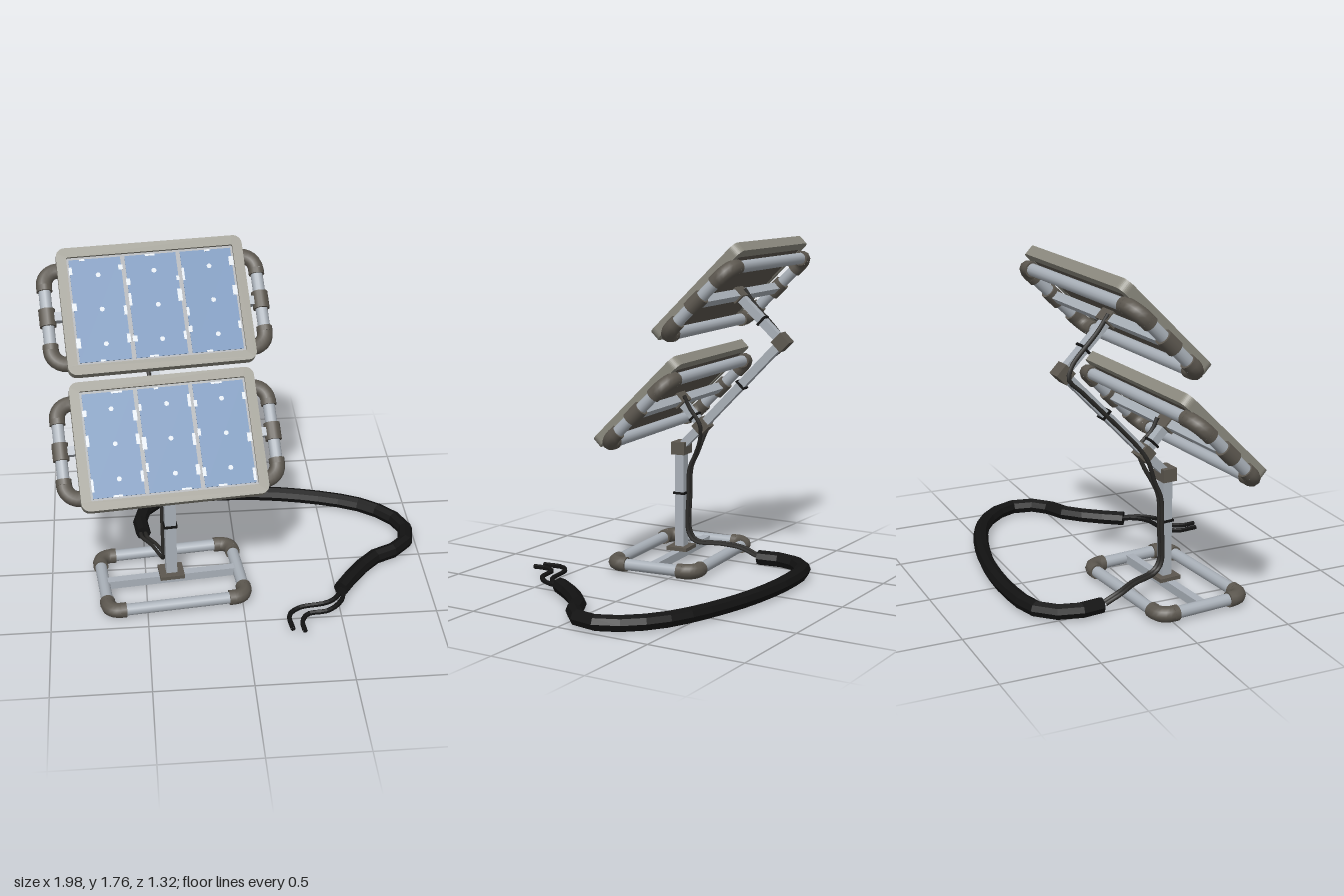
import * as THREE from 'three';

const mat = (name, color, extra = {}) => Object.assign(new THREE.MeshStandardMaterial({ color, ...extra }), { name });
const V = (x, y, z) => new THREE.Vector3(x, y, z);

export function createModel() {
  const frameGrey = mat('frame grey', 0x8c8a7f);
  const fitting = mat('dark fitting', 0x5c574f);
  const metal = mat('light metal', 0xa9b0b8);
  const cell = mat('cell blue', 0x5c80aa);
  const contact = mat('contact white', 0xd2d8de);
  const backing = mat('backing grey', 0x9a9da0);
  const black = mat('cable black', 0x121212, { flatShading: true });
  const wireMat = mat('wire charcoal', 0x2a2927);

  const root = new THREE.Group();
  root.name = 'solarStand';

  const add = (parent, name, geo, material, x = 0, y = 0, z = 0) => {
    const m = new THREE.Mesh(geo, material);
    m.name = name;
    m.position.set(x, y, z);
    parent.add(m);
    return m;
  };
  const box = (parent, name, w, h, d, material, x, y, z) =>
    add(parent, name, new THREE.BoxGeometry(w, h, d), material, x, y, z);

  // Square bar between two points
  const beam = (parent, name, a, b, w, material, extra = 0) => {
    const m = new THREE.Mesh(new THREE.BoxGeometry(w, w, a.distanceTo(b) + extra), material);
    m.name = name;
    m.position.copy(a).lerp(b, 0.5);
    m.lookAt(b);
    parent.add(m);
    return m;
  };

  // Capped hose through a few points
  const hose = (parent, name, pts, r, sides, material, steps) => {
    const curve = new THREE.CatmullRomCurve3(pts, false, 'centripetal');
    add(parent, name, new THREE.TubeGeometry(curve, steps, r, sides), material);
    for (const t of [0, 1]) {
      const p = curve.getPoint(t);
      const cap = add(parent, name + 'End', new THREE.CircleGeometry(r, sides), material, p.x, p.y, p.z);
      cap.lookAt(p.clone().addScaledVector(curve.getTangent(t), t ? 1 : -1));
    }
  };

  // Rounded tube loop in the XY plane with elbow fittings and a middle bar
  const tubeLoop = (name, hw, hh, r, tees) => {
    const g = new THREE.Group();
    g.name = name;
    const tube = (len, x, y, alongX, rad, material, part) => {
      const m = add(g, part, new THREE.CylinderGeometry(rad, rad, len, 14), material, x, y, 0);
      if (alongX) m.rotation.z = Math.PI / 2;
    };
    const collar = 0.03;
    for (const s of [-1, 1]) {
      tube(2 * (hw - r), 0, s * hh, true, 0.031, metal, 'longTube');
      tube(2 * (hh - r), s * hw, 0, false, 0.031, metal, 'sideTube');
      if (tees) tube(0.09, s * hw, 0, false, 0.042, fitting, 'teeFitting');
      for (const t of [-1, 1]) {
        const e = add(g, 'elbow', new THREE.TorusGeometry(r, 0.04, 10, 6, Math.PI / 2), fitting, s * (hw - r), t * (hh - r), 0);
        e.rotation.z = s > 0 ? (t > 0 ? 0 : -Math.PI / 2) : (t > 0 ? Math.PI / 2 : Math.PI);
        tube(collar, s * (hw - r - collar / 2), t * hh, true, 0.04, fitting, 'elbowCollar');
        tube(collar, s * hw, t * (hh - r - collar / 2), false, 0.04, fitting, 'elbowCollar');
      }
    }
    box(g, 'middleBar', 2 * hw, 0.045, 0.045, metal);
    return g;
  };

  // Rounded rectangle outline
  const roundRect = (C, w, h, r) => {
    const s = new C();
    s.absarc(w / 2 - r, h / 2 - r, r, 0, Math.PI / 2);
    s.absarc(-w / 2 + r, h / 2 - r, r, Math.PI / 2, Math.PI);
    s.absarc(-w / 2 + r, -h / 2 + r, r, Math.PI, Math.PI * 1.5);
    s.absarc(w / 2 - r, -h / 2 + r, r, Math.PI * 1.5, Math.PI * 2);
    s.closePath();
    return s;
  };

  let seed = 7;
  const rand = () => (seed = (seed * 16807) % 2147483647) / 2147483647;

  // Solar panel with its carrying loop, facing +z before tilting
  const makePanel = (name) => {
    const g = new THREE.Group();
    g.name = name;
    const W = 0.94, H = 0.66, T = 0.055;
    const rim = roundRect(THREE.Shape, W, H, 0.045);
    rim.holes.push(roundRect(THREE.Path, W - 0.1, H - 0.1, 0.008));
    add(g, 'panelFrame', new THREE.ExtrudeGeometry(rim, { depth: T, bevelEnabled: false, curveSegments: 5 }), frameGrey, 0, 0, -T / 2);
    box(g, 'panelBack', W - 0.08, H - 0.08, 0.036, fitting, 0, 0, -0.0085);
    box(g, 'cellBacking', W - 0.1, H - 0.1, 0.004, backing, 0, 0, 0.011);
    for (const i of [-1, 0, 1]) {
      const cx = i * 0.28;
      box(g, 'solarCell', 0.258, 0.535, 0.004, cell, cx, 0, 0.0145);
      // Contact dots and worn flecks along the cell edges
      for (const y of [-0.18, 0, 0.18]) {
        add(g, 'contactDot', new THREE.CircleGeometry(0.013, 7), contact, cx + 0.01, y, 0.0172);
        for (const s of [-1, 1])
          box(g, 'edgeFleck', 0.012 + rand() * 0.012, 0.02 + rand() * 0.05, 0.001, contact, cx + s * 0.125, y + (rand() - 0.5) * 0.1, 0.0168);
      }
      for (const s of [-1, 1])
        box(g, 'edgeFleck', 0.02 + rand() * 0.04, 0.01, 0.001, contact, cx + (rand() - 0.5) * 0.15, s * 0.264, 0.0168);
    }
    const loop = tubeLoop('panelRail', 0.54, 0.245, 0.075, true);
    loop.position.z = -0.06;
    g.add(loop);
    return g;
  };

  // Stand: everything that turns with the post
  const stand = new THREE.Group();
  stand.name = 'stand';
  stand.position.set(-0.365, 0, 0.14);
  stand.rotation.y = 0.1;
  root.add(stand);

  const base = tubeLoop('baseFrame', 0.36, 0.24, 0.06, false);
  base.rotation.x = -Math.PI / 2;
  base.position.y = 0.045;
  stand.add(base);
  box(stand, 'basePlate', 0.13, 0.02, 0.12, fitting, 0, 0.077, 0);
  box(stand, 'post', 0.058, 0.54, 0.052, metal, 0, 0.35, 0);
  box(stand, 'postBand', 0.072, 0.012, 0.066, black, 0, 0.382, 0);
  box(stand, 'postBracket', 0.1, 0.068, 0.078, fitting, 0, 0.632, 0);

  // Angled arms and joints
  const top = V(0, 0.635, 0), j1 = V(0, 0.76, -0.126), j2 = V(0, 1.234, -0.58);
  const lowRail = V(0, 0.892, 0.005), highRail = V(0, 1.471, -0.331);
  for (const [name, a, b, t] of [['neck', top, j1, 0], ['mainArm', j1, j2, 0.5], ['lowerArm', j1, lowRail, 0.35], ['upperArm', j2, highRail, 0.45]]) {
    beam(stand, name, a, b, 0.045, metal);
    if (!t) continue;
    const p = a.clone().lerp(b, t), d = b.clone().sub(a).setLength(0.006);
    beam(stand, name + 'Band', p.clone().sub(d), p.clone().add(d), 0.06, black);
  }
  for (const j of [j1, j2]) {
    const m = box(stand, 'armJoint', 0.075, 0.072, 0.072, fitting, 0, j.y, j.z);
    m.rotation.x = Math.PI / 4;
  }
  for (const r of [lowRail, highRail]) {
    const m = box(stand, 'railClamp', 0.1, 0.062, 0.062, fitting, 0, r.y, r.z);
    m.rotation.x = -0.79;
  }

  // Panels
  for (const [name, y, z] of [['lowerPanel', 0.935, 0.047], ['upperPanel', 1.514, -0.29]]) {
    const p = makePanel(name);
    p.position.set(0, y, z);
    p.rotation.x = -0.79;
    stand.add(p);
  }

  // Thin wires from the panels, along the arms and down the post
  const tail = (x) => [V(x, 0.6, -0.08), V(x, 0.52, -0.045), V(x, 0.36, -0.038), V(x, 0.16, -0.04),
    V(x, 0.115, -0.08), V(x - 0.04, 0.105, -0.22), V(x - 0.075, 0.085, -0.32), V(x - 0.075, 0.05, -0.41)];
  hose(stand, 'upperWire', [V(-0.035, 1.5, -0.35), V(-0.035, 1.42, -0.41), V(-0.035, 1.27, -0.55), V(-0.045, 1.21, -0.57),
    V(-0.035, 1.13, -0.49), V(-0.035, 0.8, -0.175), V(-0.045, 0.73, -0.13), ...tail(-0.035)], 0.011, 6, wireMat, 70);
  hose(stand, 'lowerWire', [V(0.03, 0.92, -0.03), V(0.03, 0.86, -0.06), V(0.045, 0.77, -0.13), V(0.02, 0.69, -0.12),
    ...tail(-0.008)], 0.011, 6, wireMat, 50);

  // Thick cable lying on the ground
  hose(root, 'groundCable', [[-0.5, -0.27], [-0.51, -0.44], [-0.42, -0.575], [-0.18, -0.625], [0.25, -0.6], [0.67, -0.48], [0.83, -0.38],
    [0.95, -0.22], [0.945, -0.1], [0.9, -0.02], [0.74, 0.06], [0.61, 0.2], [0.52, 0.325]].map(([x, z]) => V(x, 0.042, z)), 0.041, 8, black, 22);

  // Two loose leads at its free end
  const leads = [
    [[0.53, 0.3], [0.49, 0.39], [0.43, 0.435], [0.28, 0.465], [0.225, 0.52], [0.23, 0.635]],
    [[0.54, 0.3], [0.51, 0.42], [0.43, 0.5], [0.32, 0.52], [0.285, 0.58], [0.29, 0.655]],
  ];
  for (const pts of leads) hose(root, 'cableLead', pts.map(([x, z]) => V(x, 0.043, z)), 0.013, 6, black, 16);

  return root;
}
